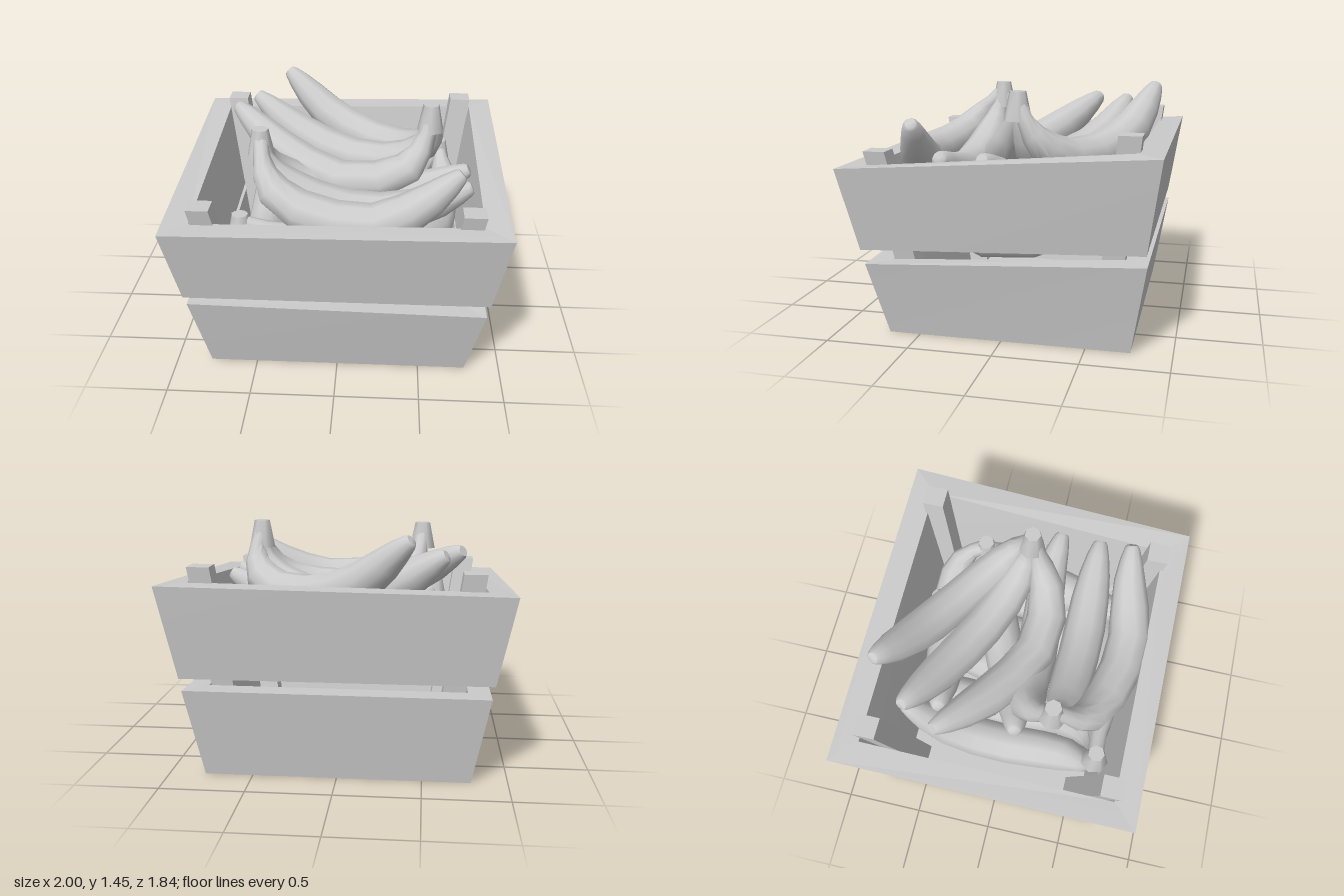
import * as THREE from 'three';
import { toCreasedNormals } from 'three/addons/utils/BufferGeometryUtils.js';

const V = (x, y, z) => new THREE.Vector3(x, y, z);
const material = new THREE.MeshStandardMaterial({ color: 0xcccccc });

// Skin a list of equal-length rings, counter-clockwise about the travel direction.
function loft(rings, crease) {
  const n = rings[0].length, index = [];
  for (let k = 0; k < rings.length - 1; k++) {
    for (let i = 0; i < n; i++) {
      const a = k * n + i, b = k * n + (i + 1) % n;
      index.push(a, b, b + n, a, b + n, a + n);
    }
  }
  const g = new THREE.BufferGeometry().setFromPoints(rings.flat());
  g.setIndex(index);
  return toCreasedNormals(g, crease);
}

function add(parent, name, geometry) {
  const mesh = new THREE.Mesh(geometry, material);
  mesh.name = name;
  parent.add(mesh);
  return mesh;
}

// Rectangle ring: half width, front and back z, heights of the four corners
// in the order front left, back left, back right, front right.
const rect = (x, zf, zb, y) => [V(x, y[0], zf), V(x, y[1], zb), V(-x, y[2], zb), V(-x, y[3], zf)];
const inset = (ring, t) => ring.map(p => V(p.x - Math.sign(p.x) * t, p.y, p.z - Math.sign(p.z) * t));

// Tapered frame of four mitred boards
function band(parent, name, bottom, top, tBottom, tTop) {
  add(parent, name, loft([bottom, top, inset(top, tTop), inset(bottom, tBottom), bottom], 0.1));
}

// Leaning square corner post
function post(parent, sx, sz, foot, head) {
  const w = 0.13;
  const ring = p => {
    const x0 = Math.min(p.x, p.x - sx * w), z0 = Math.min(p.z, p.z - sz * w);
    return [V(x0 + w, p.y, z0 + w), V(x0 + w, p.y, z0), V(x0, p.y, z0), V(x0, p.y, z0 + w)];
  };
  const cap = r => { const c = r[0].clone().lerp(r[2], 0.5); return r.map(() => c.clone()); };
  const a = ring(foot), b = ring(head);
  add(parent, 'cornerPost', loft([cap(a), a, b, cap(b)], 0.1));
}

// Banana: position along the path and relative radius, from stem to tip
const PROFILE = [[0, 0], [0, 0.36], [0.07, 0.38], [0.14, 0.58], [0.22, 0.84], [0.34, 0.97], [0.48, 1],
  [0.62, 1], [0.75, 0.93], [0.86, 0.76], [0.94, 0.55], [0.99, 0.36], [1, 0.26], [1, 0]];

function banana(parent, points, radius) {
  const path = new THREE.CatmullRomCurve3(points);
  const run = points[points.length - 1].clone().sub(points[0]);
  const across = V(-run.z, 0, run.x).normalize();
  const rings = PROFILE.map(([u, r]) => {
    const c = path.getPointAt(u), t = path.getTangentAt(u);
    const n = across.clone().addScaledVector(t, -across.dot(t)).normalize();
    const b = t.clone().cross(n);
    return Array.from({ length: 10 }, (_, i) => {
      const a = i / 10 * Math.PI * 2;
      return c.clone().addScaledVector(n, Math.cos(a) * r * radius).addScaledVector(b, Math.sin(a) * r * radius);
    });
  });
  add(parent, 'banana', loft(rings, 0.9));
}

// Bunch: a shared stem, then one path per banana
function bunch(parent, name, stem, paths, radius) {
  const g = new THREE.Group();
  g.name = name;
  parent.add(g);
  const knob = add(g, 'stem', toCreasedNormals(new THREE.CylinderGeometry(0.05, 0.085, 0.17, 7), 0.9));
  knob.position.set(stem[0], stem[1] - 0.07, stem[2]);
  for (const p of paths) {
    const start = V(stem[0], stem[1] - 0.04, stem[2]);
    banana(g, [start, ...p.map(q => V(...q))], radius);
  }
}

export function createModel() {
  const model = new THREE.Group();
  model.name = 'bananaCrate';

  // Crate
  const crate = new THREE.Group();
  crate.name = 'crate';
  model.add(crate);
  band(crate, 'lowerBoards', rect(0.785, 0.69, -0.76, [0, 0, 0, 0]),
    rect(0.885, 0.79, -0.85, [0.45, 0.54, 0.535, 0.48]), 0.11, 0.13);
  const rim = rect(0.985, 0.91, -0.925, [1.03, 1.16, 1.13, 1.01]);
  rim[1].x = 1;
  rim[2].x = -1;
  band(crate, 'upperBoards', rect(0.9, 0.81, -0.845, [0.54, 0.61, 0.61, 0.54]), rim, 0.15, 0.15);
  for (const sx of [1, -1]) {
    post(crate, sx, 1, V(sx * 0.67, 0.02, 0.58), V(sx * 0.84, 1.11, 0.795));
    post(crate, sx, -1, V(sx * 0.67, 0.02, -0.65), V(sx * 0.84, sx > 0 ? 1.25 : 1.23, -0.8));
  }
  for (const i of [-1, 0, 1]) {
    add(crate, 'floorSlat', new THREE.BoxGeometry(0.43, 0.05, 1.23)).position.set(i * 0.46, 0.035, -0.035);
  }

  // Top bunch reaching to the back right
  bunch(model, 'topBunch', [0.545, 1.43, -0.05], [
    [[0.57, 1.22, -0.13], [0.46, 1.06, -0.27], [0.2, 1.03, -0.45], [-0.1, 1.13, -0.62], [-0.42, 1.41, -0.77]],
    [[0.53, 1.22, -0.07], [0.38, 1.04, -0.13], [0.05, 0.98, -0.27], [-0.3, 1.08, -0.43], [-0.62, 1.3, -0.56]],
    [[0.51, 1.22, 0.0], [0.4, 1.06, 0.08], [0.1, 0.98, 0.12], [-0.12, 1.0, 0.05], [-0.4, 1.1, -0.11], [-0.72, 1.3, -0.35]],
  ], 0.13);

  // Front bunch reaching to the left
  bunch(model, 'frontBunch', [-0.475, 1.39, 0.3], [
    [[-0.45, 1.2, 0.22], [-0.35, 1.02, 0.12], [0.1, 0.85, 0.1], [0.5, 0.93, 0.07], [0.79, 1.08, 0.1]],
    [[-0.43, 1.2, 0.33], [-0.25, 1.02, 0.35], [0.15, 0.9, 0.37], [0.5, 0.95, 0.36], [0.79, 1.08, 0.35]],
    [[-0.44, 1.2, 0.44], [-0.32, 1.06, 0.54], [0, 0.98, 0.64], [0.25, 0.98, 0.65], [0.5, 1.09, 0.59], [0.71, 1.26, 0.55]],
  ], 0.13);

  // Middle bunch fanning out from the back left corner
  bunch(model, 'middleBunch', [0.62, 1.06, -0.37], [
    [[0.56, 0.95, -0.5], [0.42, 0.84, -0.54], [0.1, 0.76, -0.5], [-0.25, 0.82, -0.45], [-0.5, 0.98, -0.4]],
    [[0.52, 0.9, -0.33], [0.35, 0.77, -0.25], [0, 0.72, -0.1], [-0.3, 0.82, 0.03], [-0.55, 1.0, 0.09]],
    [[0.65, 0.9, -0.25], [0.62, 0.78, -0.1], [0.58, 0.7, 0.15], [0.5, 0.75, 0.4], [0.42, 0.85, 0.6]],
  ], 0.13);

  // Bottom bunch spread along the floor toward the back
  const spread = [-0.52, -0.28, -0.02, 0.24, 0.5];
  bunch(model, 'bottomBunch', [-0.57, 0.98, 0.6], spread.map((x, i) => [
    [-0.57 + i * 0.16, 0.76, 0.56], [x, 0.62, 0.38], [x, 0.54, 0.05],
    [x, 0.62, -0.32], [x, i % 3 ? 0.82 : 0.96, -0.62],
  ]), 0.13);

  return model;
}
